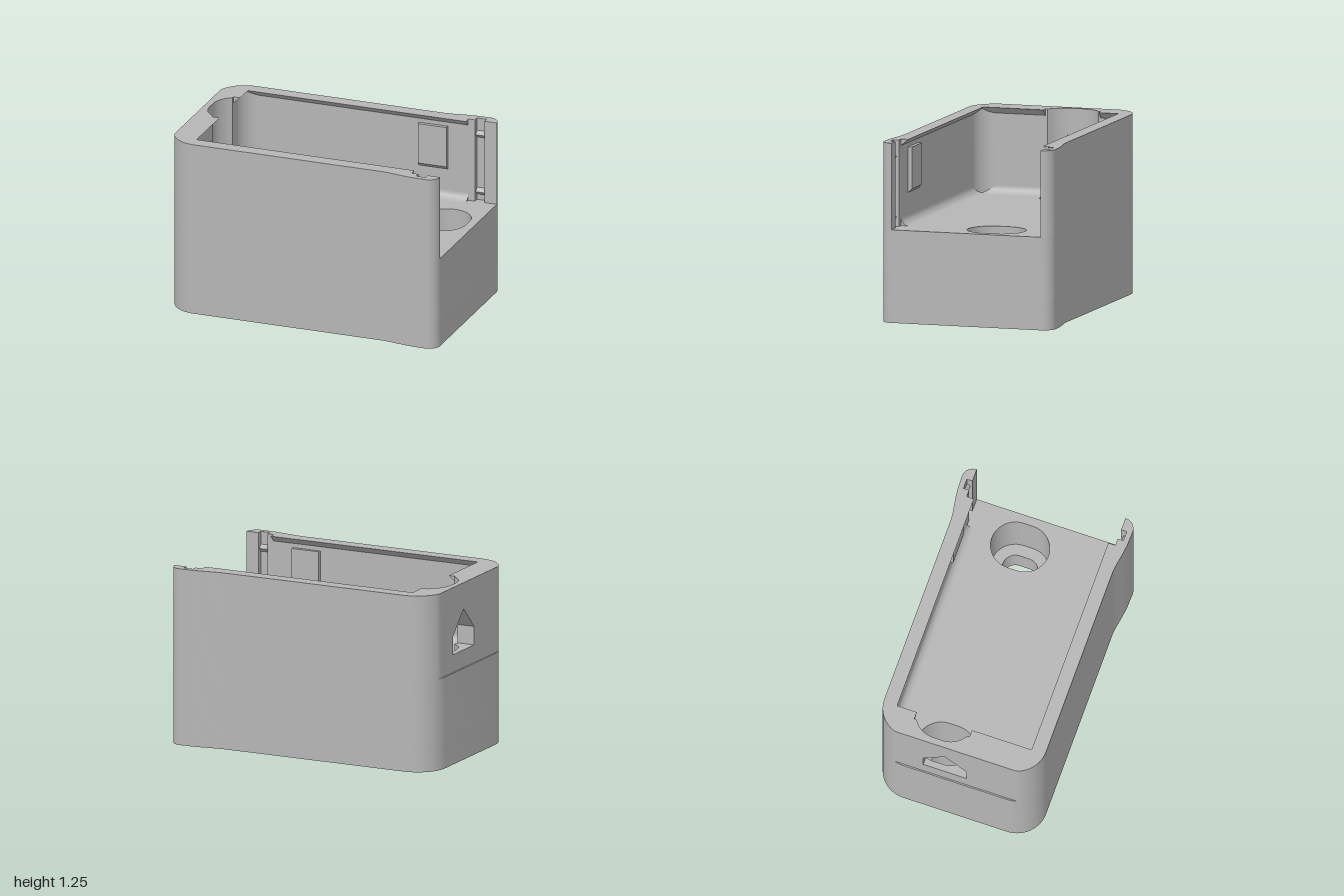
import * as THREE from 'three';
import { toCreasedNormals } from 'three/addons/utils/BufferGeometryUtils.js';

const FLOOR = 0.645, TOP = 1.245, BORE = 0.2;
const V = (x, y) => new THREE.Vector2(x, y);

// points on a circle arc, both ends included
function arc(cx, cy, r, a0, a1, n = 14) {
  return Array.from({ length: n + 1 }, (_, i) => {
    const a = a0 + (a1 - a0) * i / n;
    return V(cx + r * Math.cos(a), cy + r * Math.sin(a));
  });
}

// one half of the plan outline, from the end wall round to the open end
const halfOutline = () => [
  ...arc(-0.79, 0.377, 0.21, Math.PI, Math.PI / 2),
  V(0.6, 0.587), V(0.65, 0.592), V(0.75, 0.609), V(0.82, 0.617),
  ...arc(0.92, 0.54, 0.08, Math.PI / 2, 0, 8),
];

// slot with rounded ends; shape y is minus z
function slot(cx, r) {
  const p = new THREE.Path();
  p.setFromPoints([...arc(cx, 0.18, r, 0, Math.PI, 20), ...arc(cx, 0.11, r, Math.PI, 2 * Math.PI, 20)]);
  p.closePath();
  return p;
}

// inner face of the end wall, hollowed by the screw bore
function innerX(z) {
  const d = Math.max(0, z + 0.11, -0.18 - z);
  return d >= 0.17 ? -0.86 : Math.min(-0.86, -0.775 - Math.sqrt(0.0289 - d * d));
}

// end wall strip: rectangular sections stepped along z
function wallStrip(z0, z1, bottom, top, n = 32) {
  const pos = [];
  const section = (z) => {
    const b = bottom(z), t = top(z), x = innerX(z);
    return [[-0.99, b, z], [x, b, z], [x, t, z], [-0.99, t, z]];
  };
  const quad = (a, b, c, d) => pos.push(...a, ...b, ...c, ...a, ...c, ...d);
  for (let i = 0; i < n; i++) {
    const s = section(z0 + (z1 - z0) * i / n), e = section(z0 + (z1 - z0) * (i + 1) / n);
    for (let k = 0; k < 4; k++) {
      const m = (k + 1) % 4;
      quad(s[k], s[m], e[m], e[k]);
    }
    if (i === 0) quad(s[3], s[2], s[1], s[0]);
    if (i === n - 1) quad(e[0], e[1], e[2], e[3]);
  }
  const g = new THREE.BufferGeometry();
  g.setAttribute('position', new THREE.Float32BufferAttribute(pos, 3));
  g.computeVertexNormals();
  return toCreasedNormals(g, 0.5);
}

export function createModel() {
  const group = new THREE.Group();
  const grey = new THREE.MeshStandardMaterial({ color: 0xb6b6b6 });
  grey.name = 'grey';

  const add = (name, geometry) => {
    const mesh = new THREE.Mesh(geometry, grey);
    mesh.name = name;
    group.add(mesh);
    return mesh;
  };
  const extrude = (shape, depth) =>
    new THREE.ExtrudeGeometry(shape, { depth, bevelEnabled: false });
  // plan shape raised from y0 to y1
  const slab = (shape, y0, y1) => toCreasedNormals(
    extrude(shape, y1 - y0).rotateX(-Math.PI / 2).translate(0, y0, 0), 0.5);
  // section in (|z|, y) run along x on side s
  const alongX = (pts, s, x0, x1) => toCreasedNormals(
    extrude(new THREE.Shape(pts.map((p) => V(-s * p.x, p.y))), x1 - x0)
      .rotateY(Math.PI / 2).translate(x0, 0, 0), 0.5);
  // section in (x, y) run along z
  const alongZ = (pts, z0, z1) => toCreasedNormals(
    extrude(new THREE.Shape(pts), z1 - z0).translate(0, 0, z0), 0.5);

  // solid base with wide bores above narrow screw slots
  for (const [name, y0, y1, r] of [['baseBottom', 0, BORE, 0.09], ['base', BORE, FLOOR, 0.17]]) {
    const half = halfOutline();
    const shape = new THREE.Shape([...half, ...half.map((p) => V(p.x, -p.y)).reverse()]);
    shape.holes.push(slot(-0.775, r), slot(0.77, r));
    add(name, slab(shape, y0, y1));
  }

  // concave floor fillet and sloping lip sections, on a wall at w, growing in direction d
  const fillet = (w, d) => [
    V(w, FLOOR), ...arc(w + d * 0.055, FLOOR + 0.055, 0.055,
      -Math.PI / 2, d > 0 ? -Math.PI : 0, 10),
  ];
  const lip = (w, d) => [V(w, 1.2), V(w + d * 0.052, TOP), V(w, TOP)];

  for (const s of [1, -1]) {
    const side = s > 0 ? 'left' : 'right';
    const cut = s > 0 ? 0.08 : 0.35;

    // side wall with a vertical groove, turning the corner into the end wall
    const wall = [
      V(-0.99, cut), ...halfOutline().map((p) => V(Math.max(p.x, -0.99), p.y)),
      V(0.91, 0.54), V(0.91, 0.58), V(0.84, 0.58), V(0.84, 0.54),
      ...arc(-0.73, 0.41, 0.13, Math.PI / 2, Math.PI), V(-0.86, cut),
    ];
    add(side + 'Wall', slab(new THREE.Shape(wall.map((p) => V(p.x, -s * p.y))), FLOOR, TOP));

    add(side + 'Lip', alongX(lip(0.54, -1), s, -0.86, 0.79));
    add(side + 'FloorFillet', alongX(fillet(0.54, -1), s, -0.86, 0.79));

    // end wall lip and fillet, stopping at the bore
    const [z0, z1] = s > 0 ? [0.055, 0.54] : [-0.54, -0.345];
    add(side + 'EndLip', alongZ(lip(-0.86, 1), z0, z1));
    add(side + 'EndFillet', alongZ(fillet(-0.86, 1), z0, z1));

    // raised catch with a sloping lower edge
    add(side + 'Catch', alongX(
      [V(0.545, 0.85), V(0.512, 0.88), V(0.512, 1.17), V(0.545, 1.17)], s, 0.43, 0.64));

    // small ridges in the groove
    for (const y of [0.71, 1.13]) {
      const ridge = add(side + 'GrooveRidge', new THREE.CylinderGeometry(0.025, 0.025, 0.07, 4).toNonIndexed());
      ridge.geometry.computeVertexNormals();
      ridge.rotation.z = Math.PI / 2;
      ridge.position.set(0.875, y, s * 0.58);
    }
  }

  // thin end wall around the gabled window
  const low = () => FLOOR, high = () => TOP, sill = () => 0.77;
  const gable = (z) => 1.06 - Math.abs(z + 0.0775) * 1.016;
  add('endWallBeside', wallStrip(-0.35, -0.235, low, high));
  add('endWallBelowWindow', wallStrip(-0.235, 0.08, low, sill));
  add('endWallAboveWindow', wallStrip(-0.235, 0.08, gable, high));

  return group;
}
